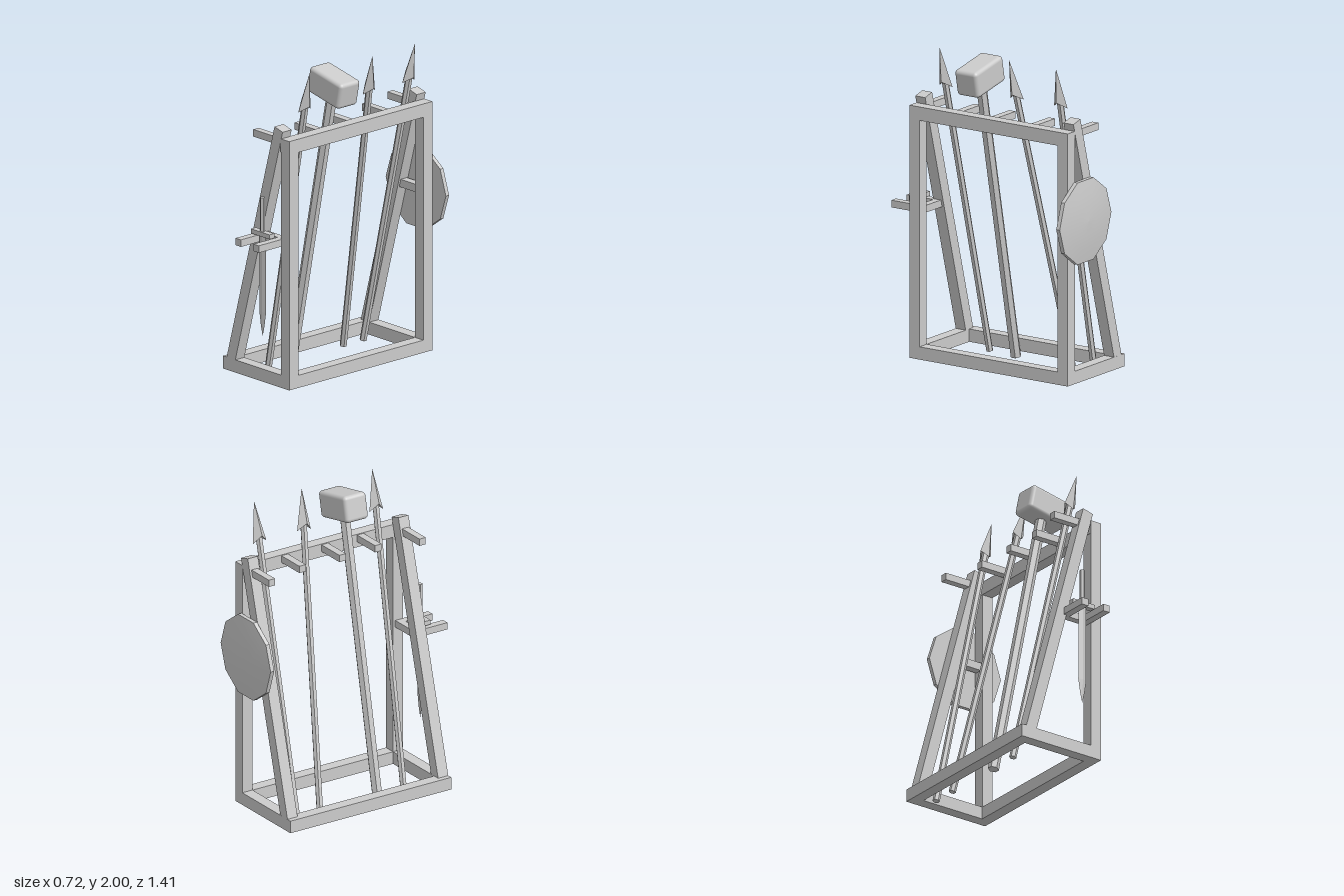
import * as THREE from 'three';
import { RoundedBoxGeometry } from 'three/addons/geometries/RoundedBoxGeometry.js';

const flat = new THREE.MeshStandardMaterial({ color: 0xcccccc, flatShading: true });
const smooth = new THREE.MeshStandardMaterial({ color: 0xcccccc });
const UP = new THREE.Vector3(0, 1, 0);

function add(parent, name, geometry, material = flat) {
  const mesh = new THREE.Mesh(geometry, material);
  mesh.name = name;
  parent.add(mesh);
  return mesh;
}

// Box given by its limits on each axis
function bar(parent, name, [x0, x1], [y0, y1], [z0, z1]) {
  const mesh = add(parent, name, new THREE.BoxGeometry(x1 - x0, y1 - y0, z1 - z0));
  mesh.position.set((x0 + x1) / 2, (y0 + y1) / 2, (z0 + z1) / 2);
  return mesh;
}

// Group whose local +y runs from one point to another
function along(parent, name, from, to) {
  const a = new THREE.Vector3(...from), d = new THREE.Vector3(...to).sub(a);
  const group = new THREE.Group();
  group.name = name;
  group.position.copy(a);
  group.userData.length = d.length();
  group.quaternion.setFromUnitVectors(UP, d.normalize());
  parent.add(group);
  return group;
}

// Four-edged point, tip at the origin, with two barbs swept back
function spearHeadGeometry() {
  const tip = [0, 0, 0], core = [0, -0.2, 0];
  const ring = [[0, -0.26, 0.05], [0.04, -0.215, 0], [0, -0.26, -0.05], [-0.04, -0.215, 0]];
  const points = [];
  ring.forEach((p, i) => {
    const q = ring[(i + 1) % 4];
    points.push(...tip, ...p, ...q, ...core, ...q, ...p);
  });
  const g = new THREE.BufferGeometry();
  g.setAttribute('position', new THREE.Float32BufferAttribute(points, 3));
  g.computeVertexNormals();
  return g;
}

function shaft(parent, name, radius, length) {
  add(parent, name, new THREE.CylinderGeometry(radius, radius, length, 6)).position.y = length / 2;
}

export function createModel() {
  const model = new THREE.Group();
  model.name = 'weaponRack';

  // Rack frame
  const frame = new THREE.Group();
  frame.name = 'frame';
  model.add(frame);
  const ends = [[0.445, 0.52], [-0.66, -0.585]];
  bar(frame, 'baseBackBeam', [0.158, 0.235], [0.03, 0.11], [-0.66, 0.52]);
  bar(frame, 'baseFrontBeam', [-0.36, -0.285], [0.03, 0.11], [-0.66, 0.52]);
  bar(frame, 'topBeam', [0.158, 0.235], [1.53, 1.615], [-0.66, 0.52]);
  for (const z of ends) {
    const mid = (z[0] + z[1]) / 2;
    bar(frame, 'baseSideBeam', [-0.285, 0.158], [0.03, 0.11], z);
    bar(frame, 'post', [0.16, 0.235], [0.11, 1.53], z);
    const leg = along(frame, 'leaningLeg', [-0.302, 0.06, mid], [0.138, 1.67, mid]);
    const length = leg.userData.length;
    add(leg, 'legBeam', new THREE.BoxGeometry(0.075, length, 0.074)).position.y = length / 2;
    bar(frame, 'endPeg', [-0.105, 0.085], [1.565, 1.61], [mid - 0.023, mid + 0.023]);
  }

  // Pegs between the weapons
  for (const z of [-0.35, -0.056, 0.205]) {
    bar(frame, 'restPeg', [-0.035, 0.16], [1.565, 1.61], [z - 0.024, z + 0.024]);
  }

  // Side rails and sword holder
  bar(frame, 'swordRail', [-0.045, 0.165], [0.93, 0.975], [0.462, 0.508]);
  bar(frame, 'shieldRail', [-0.03, 0.165], [1.03, 1.08], [-0.65, -0.6]);
  for (const x of [-0.021, 0.14]) {
    bar(frame, 'swordPeg', [x - 0.024, x + 0.024], [0.93, 0.975], [0.5, 0.705]);
  }

  // Spears
  const headGeometry = spearHeadGeometry();
  for (const [zBottom, zTop] of [[0.258, 0.32], [-0.358, -0.198], [-0.522, -0.547]]) {
    const spear = along(model, 'spear', [-0.237, 0.015, zBottom], [0.2, 2, zTop]);
    const length = spear.userData.length;
    shaft(spear, 'spearShaft', 0.022, length - 0.2);
    add(spear, 'spearHead', headGeometry).position.y = length;
  }

  // War hammer
  const hammer = along(model, 'hammer', [-0.24, 0.008, 0.065], [0.135, 1.85, 0.065]);
  const reach = hammer.userData.length;
  shaft(hammer, 'hammerHandle', 0.034, reach);
  add(hammer, 'hammerHead', new RoundedBoxGeometry(0.295, 0.168, 0.165, 3, 0.024), smooth).position.y = reach;

  // Sword hanging point down
  const sword = new THREE.Group();
  sword.name = 'sword';
  sword.position.set(0.054, 0, 0.573);
  model.add(sword);
  add(sword, 'swordGrip', new THREE.CylinderGeometry(0.016, 0.016, 0.22, 6)).position.y = 1.12;
  bar(sword, 'swordGuard', [-0.083, 0.083], [0.985, 1.014], [-0.02, 0.02]);
  const blade = [[0, 0.345], [0.016, 0.41], [0.03, 0.5], [0.027, 0.99]];
  add(sword, 'swordBlade', new THREE.LatheGeometry(blade.map(p => new THREE.Vector2(...p)), 4)).scale.z = 0.22;

  // Ten-sided shield with a shallow dome facing outward
  const shield = new THREE.Group();
  shield.name = 'shield';
  shield.position.set(0.085, 1.04, -0.66);
  shield.rotation.x = -Math.PI / 2;
  model.add(shield);
  const lathe = pts => new THREE.LatheGeometry(pts.map(p => new THREE.Vector2(...p)), 10, Math.PI / 2);
  add(shield, 'shieldRim', lathe([[0, 0], [0.27, 0], [0.27, 0.026]]));
  add(shield, 'shieldDome', lathe([[0.27, 0.026], [0.18, 0.039], [0.09, 0.047], [0, 0.05]]), smooth);

  return model;
}
